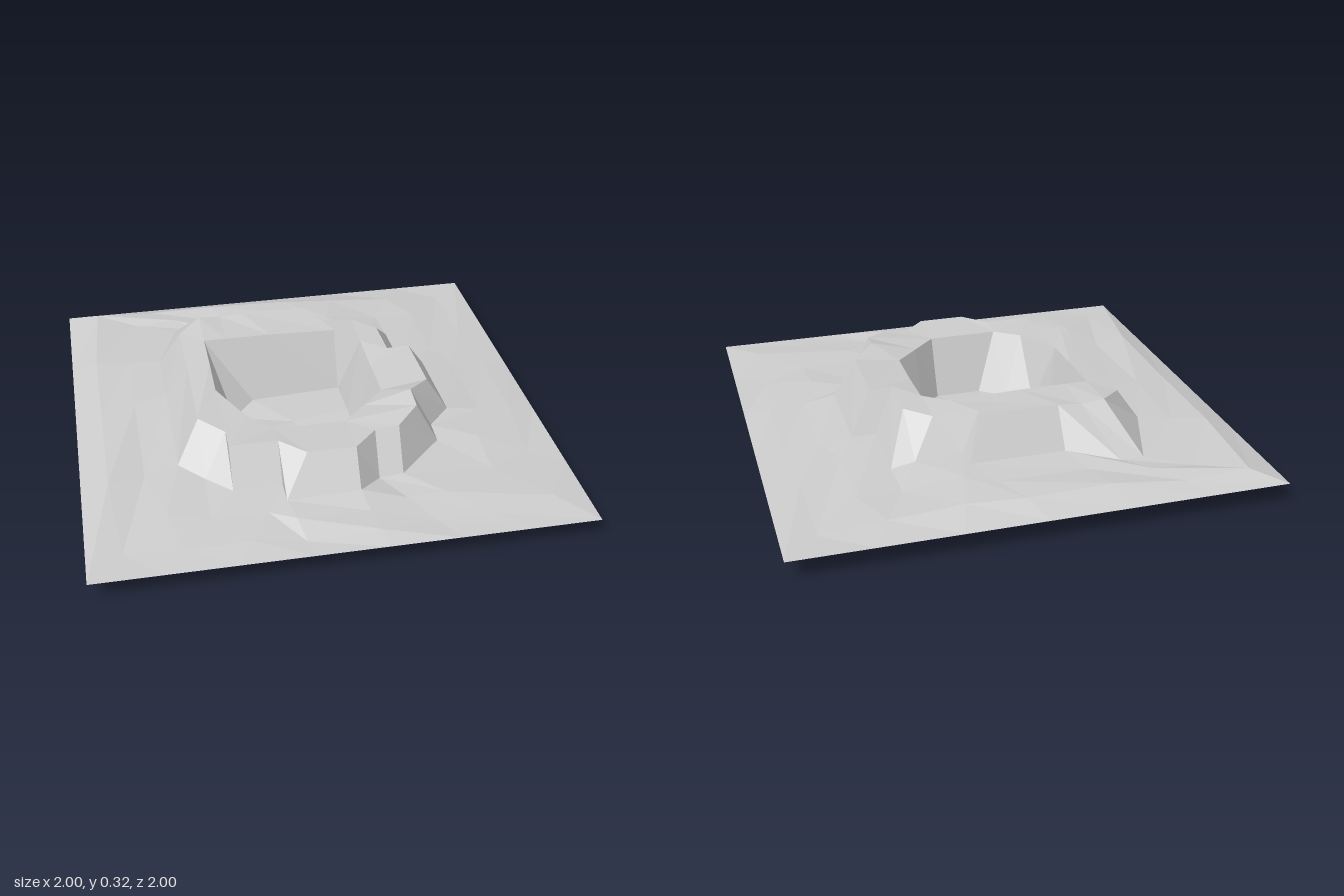
import * as THREE from 'three';

const SPOKES = 22;
const EDGE_Y = 0.088;

// Unpack a flat list of x, z, y triples into a closed loop of points
const loop = (...n) => Array.from({ length: n.length / 3 },
  (_, i) => new THREE.Vector3(n[i * 3], n[i * 3 + 2], n[i * 3 + 1]));

// Square outer edge: each side is shared evenly among its spokes
function squareBorder() {
  const corners = [[3, 1, 1], [10, -1, 1], [14, -1, -1], [20, 1, -1], [25, 1, 1]];
  const points = [];
  for (let c = 0; c < 4; c++) {
    const [k0, x0, z0] = corners[c], [k1, x1, z1] = corners[c + 1];
    for (let k = k0; k < k1; k++) {
      const t = (k - k0) / (k1 - k0);
      points[k % SPOKES] = new THREE.Vector3(x0 + (x1 - x0) * t, EDGE_Y, z0 + (z1 - z0) * t);
    }
  }
  return points;
}

// Flat-faced surface through a series of loops, each with one point per spoke
function loft(loops, centre) {
  const pos = [];
  const tri = (...pts) => {
    const area = new THREE.Triangle(...pts).getArea();
    if (area > 1e-6) pts.forEach(p => pos.push(p.x, p.y, p.z));
  };
  for (let k = 0; k < SPOKES; k++) {
    const n = (k + 1) % SPOKES;
    if (centre) tri(centre, loops[0][n], loops[0][k]);
    for (let r = 0; r < loops.length - 1; r++) {
      const a = loops[r][k], b = loops[r][n], c = loops[r + 1][k], d = loops[r + 1][n];
      tri(a, b, c);
      tri(b, d, c);
    }
  }
  const geo = new THREE.BufferGeometry();
  geo.setAttribute('position', new THREE.Float32BufferAttribute(pos, 3));
  geo.computeVertexNormals();
  return geo;
}

export function createModel() {
  const group = new THREE.Group();
  group.name = 'crater';
  const rock = new THREE.MeshStandardMaterial({
    color: 0xcccccc, flatShading: true, side: THREE.DoubleSide });

  // Loops run from the +x side round through the front, left and back
  const floor = loop(
    0.2, 0, 0.05, 0.2, 0.2, 0.04, 0.2, 0.2, 0.04, 0.2, 0.2, 0.04,
    0.1, 0.3, 0.02, 0.1, 0.3, 0.02, 0.1, 0.3, 0.02, -0.1, 0.3, 0.02,
    -0.1, 0.3, 0.02, -0.2, 0.2, 0.03, -0.2, 0.2, 0.03, -0.3, 0.1, 0.03,
    -0.3, -0.1, 0, -0.3, -0.1, 0, -0.2, -0.2, 0.02, -0.2, -0.2, 0.02,
    0, -0.2, 0.03, 0.2, -0.2, 0.04, 0.2, -0.2, 0.04, 0.2, -0.2, 0.04,
    0.2, -0.2, 0.04, 0.2, -0.2, 0.04);
  const innerRim = loop(
    0.3, 0, 0.27, 0.3, 0.2, 0.27, 0.3, 0.2, 0.27, 0.2, 0.3, 0.27,
    0.1, 0.4, 0.27, 0.1, 0.4, 0.27, 0.1, 0.4, 0.27, -0.2, 0.4, 0.27,
    -0.2, 0.4, 0.27, -0.2, 0.4, 0.27, -0.3, 0.3, 0.28, -0.4, 0.1, 0.29,
    -0.4, -0.1, 0.3, -0.4, -0.3, 0.3, -0.4, -0.3, 0.3, -0.3, -0.3, 0.3,
    -0.1, -0.3, 0.3, 0.2, -0.3, 0.29, 0.2, -0.3, 0.29, 0.2, -0.3, 0.29,
    0.3, -0.2, 0.28, 0.3, -0.2, 0.28);
  const outerRim = loop(
    0.5, -0.1, 0.29, 0.5, 0.2, 0.3, 0.4, 0.3, 0.325, 0.4, 0.4, 0.31,
    0.3, 0.5, 0.29, 0.2, 0.5, 0.28, 0.1, 0.6, 0.28, -0.1, 0.6, 0.28,
    -0.2, 0.5, 0.28, -0.4, 0.5, 0.28, -0.4, 0.4, 0.28, -0.5, 0.3, 0.29,
    -0.5, -0.1, 0.29, -0.5, -0.4, 0.29, -0.4, -0.5, 0.31, -0.3, -0.5, 0.3,
    -0.2, -0.5, 0.31, 0.1, -0.5, 0.31, 0.1, -0.4, 0.3, 0.3, -0.4, 0.28,
    0.4, -0.3, 0.28, 0.4, -0.1, 0.29);
  const foot = loop(
    0.6, -0.2, 0.13, 0.6, 0.2, 0.14, 0.5, 0.3, 0.13, 0.5, 0.4, 0.12,
    0.3, 0.6, 0.12, 0.2, 0.6, 0.11, 0.1, 0.7, 0.14, -0.2, 0.7, 0.13,
    -0.2, 0.6, 0.13, -0.4, 0.6, 0.13, -0.5, 0.5, 0.13, -0.6, 0.4, 0.14,
    -0.6, -0.1, 0.16, -0.6, -0.4, 0.15, -0.5, -0.7, 0.13, -0.4, -0.7, 0.13,
    -0.2, -0.6, 0.15, 0.2, -0.6, 0.15, 0.2, -0.5, 0.15, 0.4, -0.5, 0.14,
    0.5, -0.5, 0.12, 0.5, -0.2, 0.13);

  // Uneven plain: falls to the edge, with low ridges on the left and back
  const border = squareBorder();
  const plain = (t, rise) => foot.map((p, k) => {
    const q = p.clone().lerp(border[k], t);
    const ridge = k >= 11 && k <= 18 ? rise : 0;
    q.y += ridge + 0.008 * Math.sin(k * 2.4 + t * 9);
    return q;
  });

  const add = (name, loops, centre) => {
    const mesh = new THREE.Mesh(loft(loops, centre), rock);
    mesh.name = name;
    group.add(mesh);
  };
  add('pitFloor', [floor], new THREE.Vector3(-0.05, 0.03, 0.02));
  add('pitWall', [floor, innerRim]);
  add('rimTop', [innerRim, outerRim]);
  add('outerSlope', [outerRim, foot]);
  add('ground', [foot, plain(0.35, 0.01), plain(0.72, 0.03), border]);
  return group;
}
